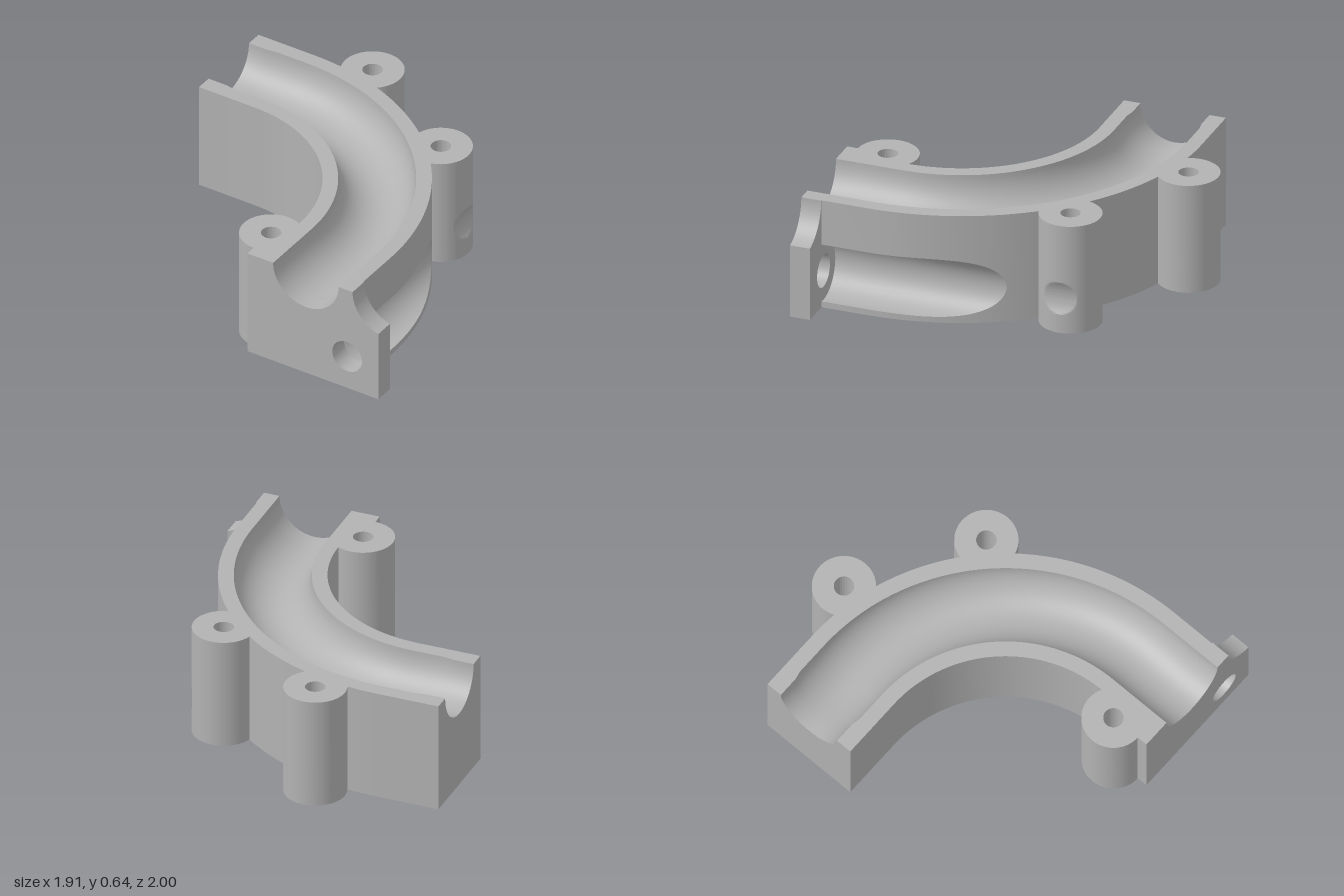
import * as THREE from 'three';
import { toCreasedNormals } from 'three/addons/utils/BufferGeometryUtils.js';

const H = 0.64;                                   // overall height
const BEND = { x: -0.6, z: 0.615, r: 1.09 };      // centre and radius of the bend
const HALF = 0.295, CH = 0.21;                    // half width, channel radius
const GROOVE = { x: 0.755, y: 0.205, r: 0.173 };  // side groove running along z
const PLATE_Z = 0.885;

// Cross-section at one station: rays leave (ox, oz) at angle a
function section(ox, oz, a, channel) {
  const outer = BEND.r + HALF, inner = BEND.r - HALF, c = Math.cos(a);
  const wallX = BEND.x + outer * c;
  const phi = Math.acos(Math.min(1, (GROOVE.x - wallX) / GROOVE.r));
  const pts = [[inner, 0], [outer, 0]];
  for (let i = 0; i <= 20; i++) {
    const f = phi * (i / 10 - 1);
    const rho = phi < 1e-5 ? outer : (GROOVE.x - GROOVE.r * Math.cos(f) - BEND.x) / c;
    pts.push([rho, GROOVE.y + GROOVE.r * Math.sin(f)]);
  }
  pts.push([outer, H]);
  for (let i = 0; i <= 28; i++) {
    const f = Math.PI * i / 28;
    pts.push([BEND.r + channel * Math.cos(f), H - channel * Math.sin(f)]);
  }
  pts.push([inner, H]);
  return pts.map(([rho, y]) => [ox + rho * c, y, oz - rho * Math.sin(a)]);
}

// Curved channel body, lofted through the stations
function bodyGeometry() {
  const rows = [section(BEND.x, PLATE_Z, 0, CH)];
  const end = Math.acos((GROOVE.x - GROOVE.r - BEND.x) / (BEND.r + HALF));
  for (let i = 0; i <= 28; i++) {
    rows.push(section(BEND.x, BEND.z, end * (1 - (1 - i / 28) ** 2), CH));
  }
  for (let i = 1; i <= 36; i++) {
    rows.push(section(BEND.x, BEND.z, end + (Math.PI / 2 - end) * i / 36, CH));
  }
  for (const [x, r] of [[-0.79, CH], [-0.84, 0.2], [-0.96, 0.2]]) {
    rows.push(section(x, BEND.z, Math.PI / 2, r));
  }
  const n = rows[0].length, index = [];
  for (let s = 0; s < rows.length - 1; s++) {
    for (let i = 0; i < n; i++) {
      const j = (i + 1) % n, a = s * n + i, b = a + n, c = s * n + j, d = c + n;
      index.push(a, b, c, c, b, d);
    }
  }
  const g = new THREE.BufferGeometry();
  g.setAttribute('position', new THREE.Float32BufferAttribute(rows.flat(2), 3));
  g.setIndex(index);
  return toCreasedNormals(g, 0.3);
}

// Flat end face of the body
function endGeometry() {
  const z = BEND.z - BEND.r;
  const s = new THREE.Shape();
  s.moveTo(z - HALF, 0);
  s.lineTo(z + HALF, 0);
  s.lineTo(z + HALF, H);
  s.lineTo(z + 0.2, H);
  s.absarc(z, H, 0.2, 0, Math.PI, true);
  s.lineTo(z - HALF, H);
  return new THREE.ShapeGeometry(s, 28).rotateY(-Math.PI / 2).translate(-0.96, 0, 0);
}

// Front flange with channel mouth, scooped corner and bolt hole
function flangeGeometry() {
  const s = new THREE.Shape();
  s.moveTo(0.115, 0);
  s.lineTo(0.955, 0);
  s.lineTo(0.955, 0.427);
  s.absarc(1.01, H, 0.22, Math.PI + 1.318, Math.PI, true);
  s.lineTo(0.49 + CH, H);
  s.absarc(0.49, H, CH, 0, Math.PI, true);
  s.lineTo(0.115, H);
  const hole = new THREE.Path();
  hole.absarc(GROOVE.x, GROOVE.y, 0.095, 0, Math.PI * 2, true);
  s.holes.push(hole);
  const g = new THREE.ExtrudeGeometry(s, { depth: 1 - PLATE_Z, bevelEnabled: false, curveSegments: 28 });
  return toCreasedNormals(g.translate(0, 0, PLATE_Z), 0.3);
}

// One layer of a screw post; the side towards the body is trimmed by a chord
function postLayer(x, z, facing, hex, y0, y1, steps) {
  const s = new THREE.Shape();
  const cut = 0.675;
  s.absarc(x, -z, 0.173, facing + cut, facing - cut + Math.PI * 2, false);
  s.closePath();
  const hole = new THREE.Path();
  if (hex) {
    hole.setFromPoints(Array.from({ length: 6 }, (_, i) => {
      const a = Math.PI / 6 - i * Math.PI / 3;
      return new THREE.Vector2(x + 0.105 * Math.cos(a), -z + 0.105 * Math.sin(a));
    }));
    hole.closePath();
  } else {
    hole.absarc(x, -z, 0.055, 0, Math.PI * 2, true);
  }
  s.holes.push(hole);
  const g = new THREE.ExtrudeGeometry(s, { depth: y1 - y0, bevelEnabled: false, curveSegments: 72, steps });
  g.rotateX(-Math.PI / 2).translate(0, y0, 0);
  // Where the side groove grazes a post, press its surface in
  const p = g.attributes.position;
  for (let i = 0; i < p.count; i++) {
    const dy = p.getY(i) - GROOVE.y;
    if (Math.abs(dy) >= GROOVE.r || steps === 1) continue;
    const limit = GROOVE.x - Math.sqrt(GROOVE.r ** 2 - dy * dy);
    if (p.getX(i) > limit) p.setX(i, limit);
  }
  return toCreasedNormals(g, 0.3);
}

export function createModel() {
  const grey = new THREE.MeshStandardMaterial({ color: 0xb2b2b2 });
  grey.name = 'grey';
  const model = new THREE.Group();
  model.name = 'channelBend';
  const add = (parent, name, geometry) => {
    const mesh = new THREE.Mesh(geometry, grey);
    mesh.name = name;
    parent.add(mesh);
  };

  add(model, 'channelBody', bodyGeometry());
  add(model, 'channelEnd', endGeometry());
  add(model, 'frontFlange', flangeGeometry());

  // Screw posts: position, direction to the body, whether the groove touches it
  const toCentre = (x, z) => Math.atan2(z - BEND.z, BEND.x - x);
  const posts = [
    ['backPost', -0.265, -0.827, toCentre(-0.265, -0.827), false],
    ['sidePost', 0.437, -0.42, toCentre(0.437, -0.42), true],
    ['innerPost', 0.115, 0.765, 0, false],
  ];
  for (const [name, x, z, facing, grooved] of posts) {
    const post = new THREE.Group();
    post.name = name;
    add(post, 'nutSocket', postLayer(x, z, facing, true, 0, 0.12, grooved ? 12 : 1));
    add(post, 'screwTube', postLayer(x, z, facing, false, 0.12, H, grooved ? 52 : 1));
    model.add(post);
  }
  return model;
}
